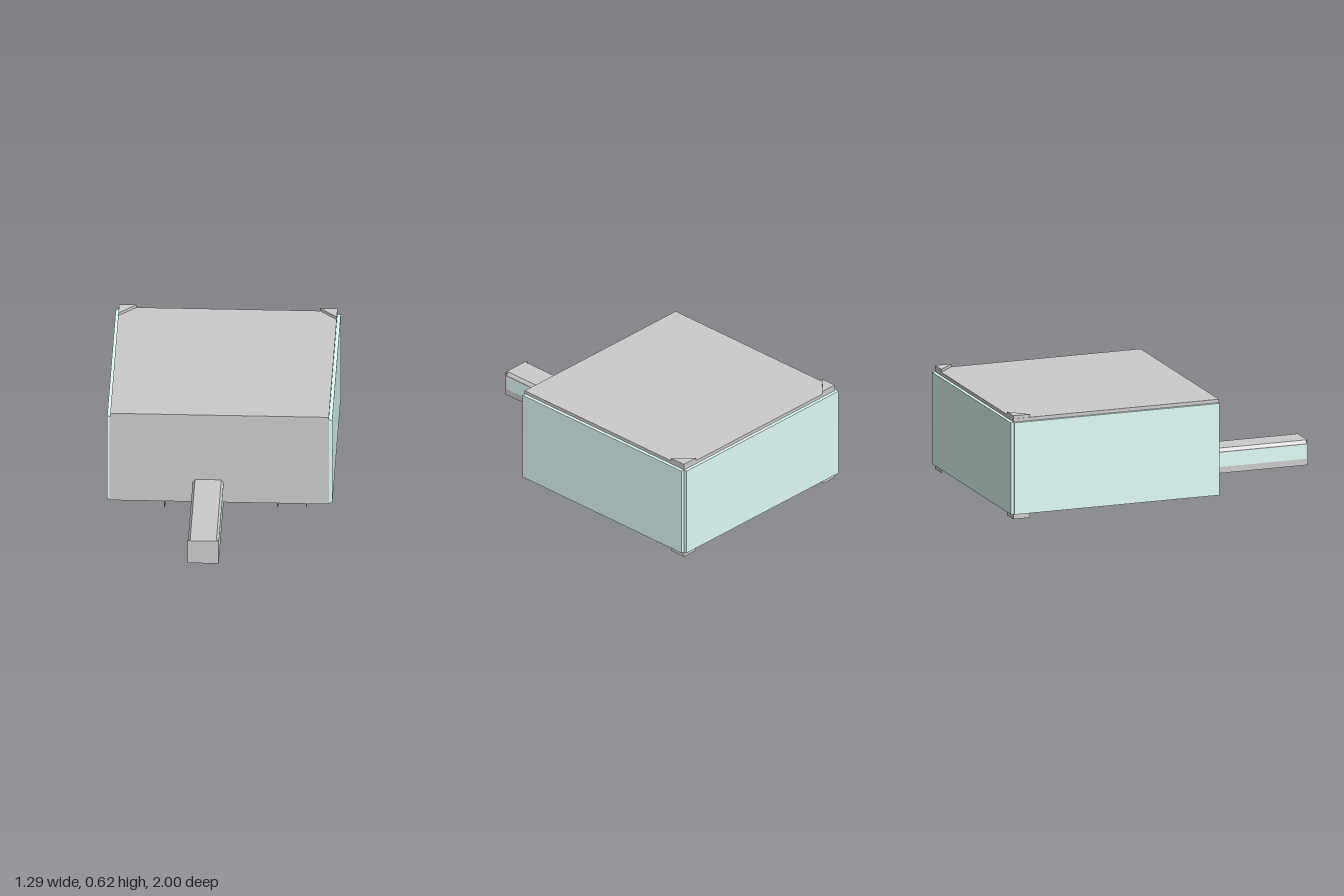
import * as THREE from 'three';

const grey = new THREE.MeshStandardMaterial({ color: 0xcccccc, flatShading: true });
const glass = new THREE.MeshStandardMaterial({ color: 0xe0fbf7, flatShading: true });

// Box given by its extents on each axis
function slab(name, [x0, x1], [y0, y1], [z0, z1], material = grey) {
  const mesh = new THREE.Mesh(new THREE.BoxGeometry(x1 - x0, y1 - y0, z1 - z0), material);
  mesh.position.set((x0 + x1) / 2, (y0 + y1) / 2, (z0 + z1) / 2);
  mesh.name = name;
  return mesh;
}

// Triangular bracket seated in a rear corner; side is -1 or 1
function cornerBracket(name, side, y0, y1) {
  const x = side * 0.623, inner = side * 0.523;
  const shape = new THREE.Shape([
    new THREE.Vector2(x, 0.98),
    new THREE.Vector2(inner, 0.98),
    new THREE.Vector2(x, 0.88),
  ]);
  const geometry = new THREE.ExtrudeGeometry(shape, { depth: y1 - y0, bevelEnabled: false });
  geometry.rotateX(-Math.PI / 2);
  const mesh = new THREE.Mesh(geometry, grey);
  mesh.position.y = y0;
  mesh.name = name;
  return mesh;
}

function createHall() {
  const hall = new THREE.Group();
  hall.name = 'hall';
  const width = [-0.625, 0.622];
  hall.add(
    slab('floor', width, [0.043, 0.052], [-0.98, 0.27]),
    slab('roof', width, [0.588, 0.608], [-0.98, 0.275]),
    slab('frontWall', [-0.63, 0.622], [0.043, 0.588], [0.265, 0.275]),
    slab('rightGlassWall', [-0.643, -0.625], [0.048, 0.588], [-0.98, 0.272], glass),
    slab('leftGlassWall', [0.622, 0.642], [0.048, 0.588], [-0.98, 0.272], glass),
    slab('backGlassWall', [-0.635, 0.622], [0.048, 0.588], [-1, -0.98], glass),
  );
  for (const side of [-1, 1]) {
    hall.add(cornerBracket('upperCornerBracket', side, 0.59, 0.625));
    hall.add(cornerBracket('lowerCornerBracket', side, 0.016, 0.05));
  }
  return hall;
}

function createCorridor() {
  const corridor = new THREE.Group();
  corridor.name = 'corridor';
  const x0 = -0.155, x1 = 0.022, z0 = 0.275, z1 = 0.99;
  // Roof with steeply chamfered long edges
  const roofShape = new THREE.Shape([
    new THREE.Vector2(x0, 0.163),
    new THREE.Vector2(x1, 0.163),
    new THREE.Vector2(x1, 0.168),
    new THREE.Vector2(x1 - 0.014, 0.188),
    new THREE.Vector2(x0 + 0.014, 0.188),
    new THREE.Vector2(x0, 0.168),
  ]);
  const roof = new THREE.Mesh(
    new THREE.ExtrudeGeometry(roofShape, { depth: z1 - z0, bevelEnabled: false }), grey);
  roof.position.z = z0;
  roof.name = 'corridorRoof';
  corridor.add(
    roof,
    slab('corridorFloor', [x0, x1], [0.043, 0.052], [z0, z1]),
    slab('corridorEndWall', [x0, x1], [0.043, 0.188], [z1, 1]),
  );
  for (const [a, b] of [[x0, x0 + 0.01], [x1 - 0.01, x1]]) {
    corridor.add(slab('corridorSill', [a, b], [0.052, 0.08], [z0, z1]));
    corridor.add(slab('corridorWindow', [a, b], [0.08, 0.163], [z0, z1], glass));
  }
  return corridor;
}

export function createModel() {
  const model = new THREE.Group();
  model.name = 'pavilion';
  model.add(createHall(), createCorridor());
  // Thin feet of differing length under the front edge
  for (const [x, bottom] of [[-0.315, 0], [0.08, 0.035], [0.33, 0.018], [0.494, 0.022]]) {
    model.add(slab('foot', [x - 0.003, x + 0.003], [bottom, 0.045], [0.245, 0.274]));
  }
  return model;
}
